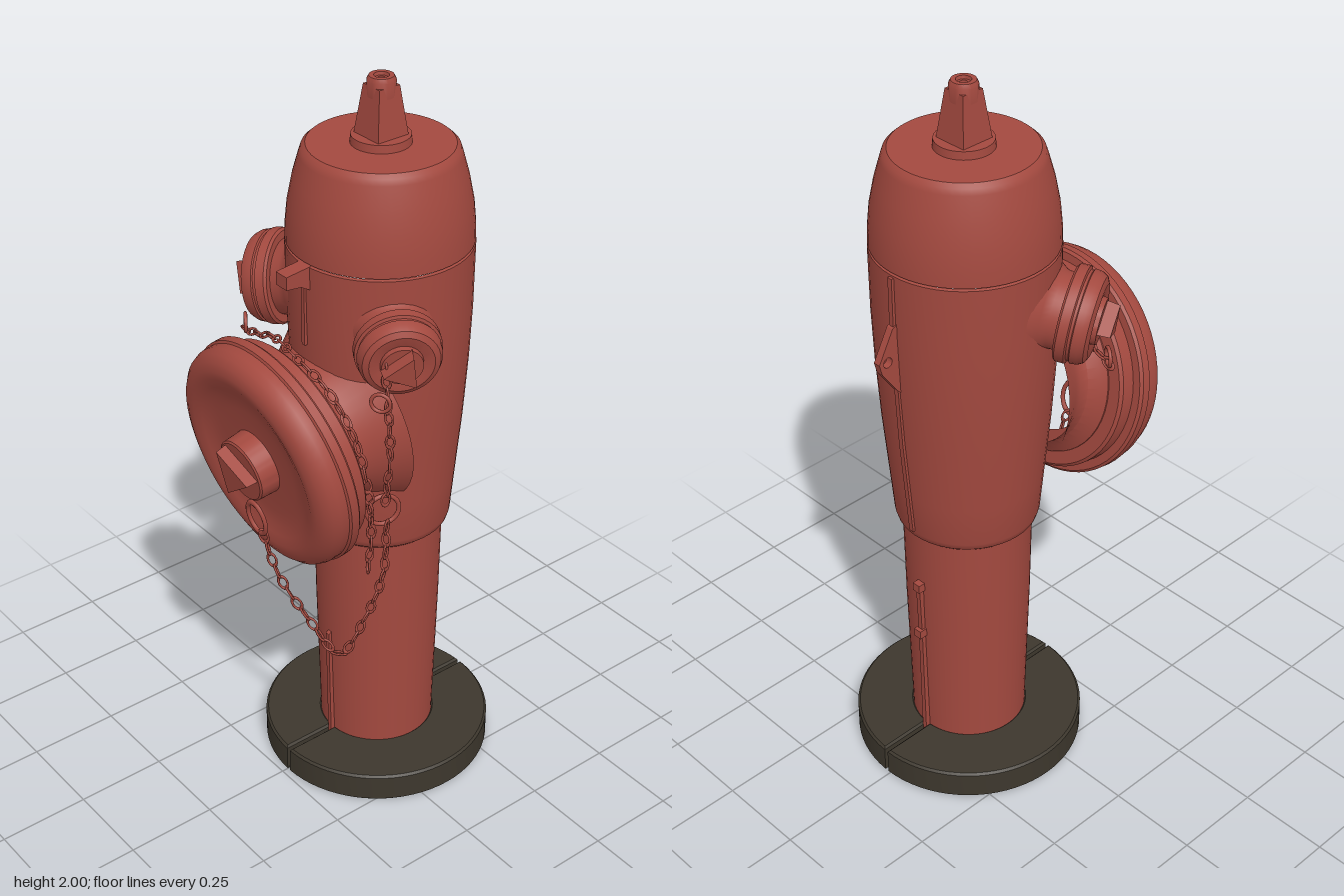
import * as THREE from 'three';
import { toCreasedNormals } from 'three/addons/utils/BufferGeometryUtils.js';

const red = new THREE.MeshStandardMaterial({ color: 0xa3493f });
red.name = 'red paint';
const dark = new THREE.MeshStandardMaterial({ color: 0x3d372d });
dark.name = 'dark base';

const UP = new THREE.Vector3(0, 1, 0);
const V = (x, y, z) => new THREE.Vector3(x, y, z);

function add(parent, name, geometry, x = 0, y = 0, z = 0, material = red) {
  const mesh = new THREE.Mesh(geometry, material);
  mesh.name = name;
  mesh.position.set(x, y, z);
  parent.add(mesh);
  return mesh;
}

// profile: [radius, height] pairs from bottom to top
function lathe(profile, segments = 48) {
  const g = new THREE.LatheGeometry(profile.map(([r, y]) => new THREE.Vector2(r, y)), segments);
  return toCreasedNormals(g, 0.6);
}

function axisGroup(parent, name, origin, direction) {
  const g = new THREE.Group();
  g.name = name;
  g.position.copy(origin);
  g.quaternion.setFromUnitVectors(UP, direction.normalize());
  parent.add(g);
  return g;
}

// three-sided operating nut lying along local y
function triNut(parent, radius, from, to) {
  const g = new THREE.CylinderGeometry(radius * 0.94, radius, to - from, 3, 1, false, Math.PI / 2 + 0.12);
  add(parent, 'triangularNut', toCreasedNormals(g, 0.5), 0, (from + to) / 2, 0);
}

// chain of alternating links along a smooth path
const linkGeometry = new THREE.TorusGeometry(0.0105, 0.0032, 6, 12).scale(1, 1.8, 1);
function chain(parent, name, points) {
  const group = new THREE.Group();
  group.name = name;
  const curve = new THREE.CatmullRomCurve3(points);
  const count = Math.round(curve.getLength() / 0.036);
  for (let i = 0; i <= count; i++) {
    const link = add(group, 'chainLink', linkGeometry);
    link.position.copy(curve.getPointAt(i / count));
    link.quaternion.setFromUnitVectors(UP, curve.getTangentAt(i / count));
    link.rotateY(0.4 + (i % 2) * Math.PI / 2);
  }
  parent.add(group);
}

function halfRing() {
  const R = 0.315, r = 0.155, a = Math.PI / 2;
  const s = new THREE.Shape();
  s.absarc(0, 0, R, -a + 0.018, a - 0.018, false);
  s.absarc(0, 0, r, a - 0.036, -a + 0.036, true);
  s.closePath();
  const g = new THREE.ExtrudeGeometry(s, {
    depth: 0.073, bevelThickness: 0.006, bevelSize: 0.006, bevelOffset: -0.006, bevelSegments: 1, curveSegments: 18,
  });
  return toCreasedNormals(g.translate(0, 0, 0.006).rotateX(-Math.PI / 2), 0.4);
}

// flat plate seen from the side: [outward, height] outline, facing -z
function plate(outline, thickness, hole) {
  const s = new THREE.Shape(outline.map(([u, y]) => new THREE.Vector2(u, y)));
  if (hole) s.holes.push(new THREE.Path().absarc(hole[0], hole[1], hole[2], 0, Math.PI * 2, true));
  const g = new THREE.ExtrudeGeometry(s, { depth: thickness, bevelEnabled: false, curveSegments: 8 });
  return g.translate(0, 0, -thickness / 2).rotateY(Math.PI / 2);
}

function sideNozzle(parent, side, radius) {
  const g = axisGroup(parent, side > 0 ? 'leftNozzle' : 'rightNozzle',
    V(0, 1.455, 0), V(side * 0.866, -0.15, 0.5));
  const k = radius / 0.118;
  const scaled = p => p.map(([r, y]) => [r * k, y]);
  add(g, 'nozzleNeck', lathe(scaled([[0.15, 0.16], [0.128, 0.195], [0.108, 0.215], [0.095, 0.235], [0.09, 0.29]])));
  add(g, 'nozzleCap', lathe(scaled([
    [0.08, 0.258], [0.112, 0.258], [0.118, 0.264], [0.118, 0.288], [0.11, 0.291], [0.11, 0.298],
    [0.114, 0.301], [0.112, 0.318], [0.104, 0.333], [0.088, 0.341], [0.065, 0.338], [0.058, 0.336],
    [0.056, 0.349], [0, 0.349]]), 40));
  triNut(g, 0.054, 0.345, 0.382);
}

export function createModel() {
  const root = new THREE.Group();
  root.name = 'fireHydrant';
  const body = new THREE.Group();
  body.name = 'body';
  body.position.set(0.01, 0, -0.08);
  root.add(body);

  // split base ring
  for (const turn of [0, Math.PI]) {
    add(body, 'baseRingHalf', halfRing(), 0, 0, 0, dark).rotation.y = turn;
  }

  // barrel, upper body and bonnet
  add(body, 'barrel', lathe([[0, 0.002], [0.157, 0.002], [0.158, 0.1], [0.168, 0.5], [0.172, 0.78]]));
  add(body, 'upperBody', lathe([
    [0.165, 0.755], [0.176, 0.758], [0.187, 0.768], [0.192, 0.785], [0.202, 0.9],
    [0.218, 1.08], [0.229, 1.25], [0.235, 1.4], [0.237, 1.575], [0.23, 1.578]]));
  add(body, 'bonnet', lathe([
    [0.225, 1.58], [0.236, 1.582], [0.235, 1.62], [0.229, 1.68], [0.216, 1.745], [0.199, 1.805],
    [0.194, 1.82], [0.183, 1.83], [0, 1.832]], 56));

  // top operating nut
  add(body, 'nutWasher', new THREE.CylinderGeometry(0.074, 0.076, 0.022, 40), 0, 1.841, 0);
  const square = new THREE.CylinderGeometry(0.044, 0.066, 0.125, 4, 1, false, Math.PI / 4);
  add(body, 'topNut', toCreasedNormals(square, 0.5), 0, 1.9145, 0);
  add(body, 'topNutTip', lathe([
    [0.036, 1.95], [0.036, 1.99], [0.031, 2], [0.019, 2], [0.017, 1.992], [0.01, 1.992], [0.009, 1.982], [0, 1.982]], 24));

  // large front outlet, tilted slightly down
  const outlet = axisGroup(body, 'frontOutlet', V(0, 1.085, 0.32), V(0, -0.17, 0.985));
  add(outlet, 'outletNeck', lathe([
    [0.26, -0.22], [0.235, -0.18], [0.213, -0.145], [0.2, -0.115], [0.203, -0.09], [0.222, -0.068], [0.24, -0.055], [0.245, -0.03]]));
  add(outlet, 'outletCap', lathe([
    [0.18, -0.052], [0.276, -0.052], [0.284, -0.045], [0.284, -0.008], [0.306, -0.008], [0.313, -0.001],
    [0.313, 0.022], [0.307, 0.026], [0.307, 0.05], [0.3, 0.068], [0.284, 0.083], [0.262, 0.092],
    [0.24, 0.092], [0.215, 0.084], [0.19, 0.075], [0.15, 0.07], [0.088, 0.07], [0.085, 0.122], [0.08, 0.126], [0, 0.126]], 64));
  triNut(outlet, 0.077, 0.12, 0.157);

  // pair of smaller side outlets
  sideNozzle(body, 1, 0.108);
  sideNozzle(body, -1, 0.124);

  // casting seams and lugs, front and back
  add(body, 'frontSeam', new THREE.BoxGeometry(0.012, 0.22, 0.02), 0, 1.465, 0.232);
  const lug = add(body, 'frontLug', plate([[0.22, 1.505], [0.262, 1.53], [0.305, 1.535], [0.305, 1.57], [0.22, 1.578]], 0.042));
  lug.rotation.y = Math.PI;
  const lowFront = plate([[0.145, 0.01], [0.168, 0.01], [0.175, 0.42], [0.16, 0.43]], 0.013);
  add(body, 'frontLowerSeam', lowFront).rotation.y = Math.PI;
  add(body, 'backLowerSeam', plate([[0.145, 0.01], [0.17, 0.01], [0.177, 0.43], [0.183, 0.6], [0.15, 0.6]], 0.014));
  for (const y of [0.43, 0.59]) add(body, 'backClip', new THREE.BoxGeometry(0.024, 0.025, 0.025), 0, y, -0.176);
  add(body, 'backSeam', plate([[0.17, 0.79], [0.199, 0.79], [0.225, 1.08], [0.243, 1.4], [0.244, 1.57], [0.2, 1.57]], 0.014));
  add(body, 'backLug', plate([
    [0.22, 1.235], [0.236, 1.25], [0.285, 1.32], [0.293, 1.35], [0.28, 1.375], [0.248, 1.435], [0.22, 1.45]],
    0.02, [0.266, 1.347, 0.014]));

  // retaining rings
  const capRing = add(root, 'capRing', new THREE.TorusGeometry(0.036, 0.006, 8, 28), 0.02, 0.912, 0.325);
  capRing.scale.y = 1.35;
  capRing.rotation.x = 0.17;
  add(root, 'chainRing', new THREE.TorusGeometry(0.042, 0.006, 8, 28), 0.25, 0.965, 0.1).rotation.y = 1.2;
  add(root, 'leftRing', new THREE.TorusGeometry(0.024, 0.005, 8, 20), 0.285, 1.31, 0.14).rotation.y = 0.6;
  add(root, 'rightRing', new THREE.TorusGeometry(0.024, 0.005, 8, 20), -0.28, 1.28, 0.13).rotation.y = -0.6;

  // hanging chains
  chain(root, 'frontChain', [
    V(0.03, 0.855, 0.312), V(0.06, 0.74, 0.29), V(0.115, 0.61, 0.24), V(0.185, 0.51, 0.19),
    V(0.23, 0.63, 0.14), V(0.265, 0.78, 0.11), V(0.265, 0.92, 0.1)]);
  chain(root, 'leftChain', [V(0.285, 1.4, 0.125), V(0.285, 1.28, 0.115), V(0.275, 1.14, 0.1), V(0.26, 1, 0.1)]);
  chain(root, 'rightChain', [
    V(-0.28, 1.26, 0.13), V(-0.21, 1.28, 0.14), V(-0.13, 1.31, 0.15), V(0.02, 1.33, 0.19),
    V(0.15, 1.3, 0.195), V(0.235, 1.2, 0.18), V(0.265, 1.08, 0.165), V(0.265, 0.92, 0.15), V(0.26, 0.82, 0.155)]);

  return root;
}
